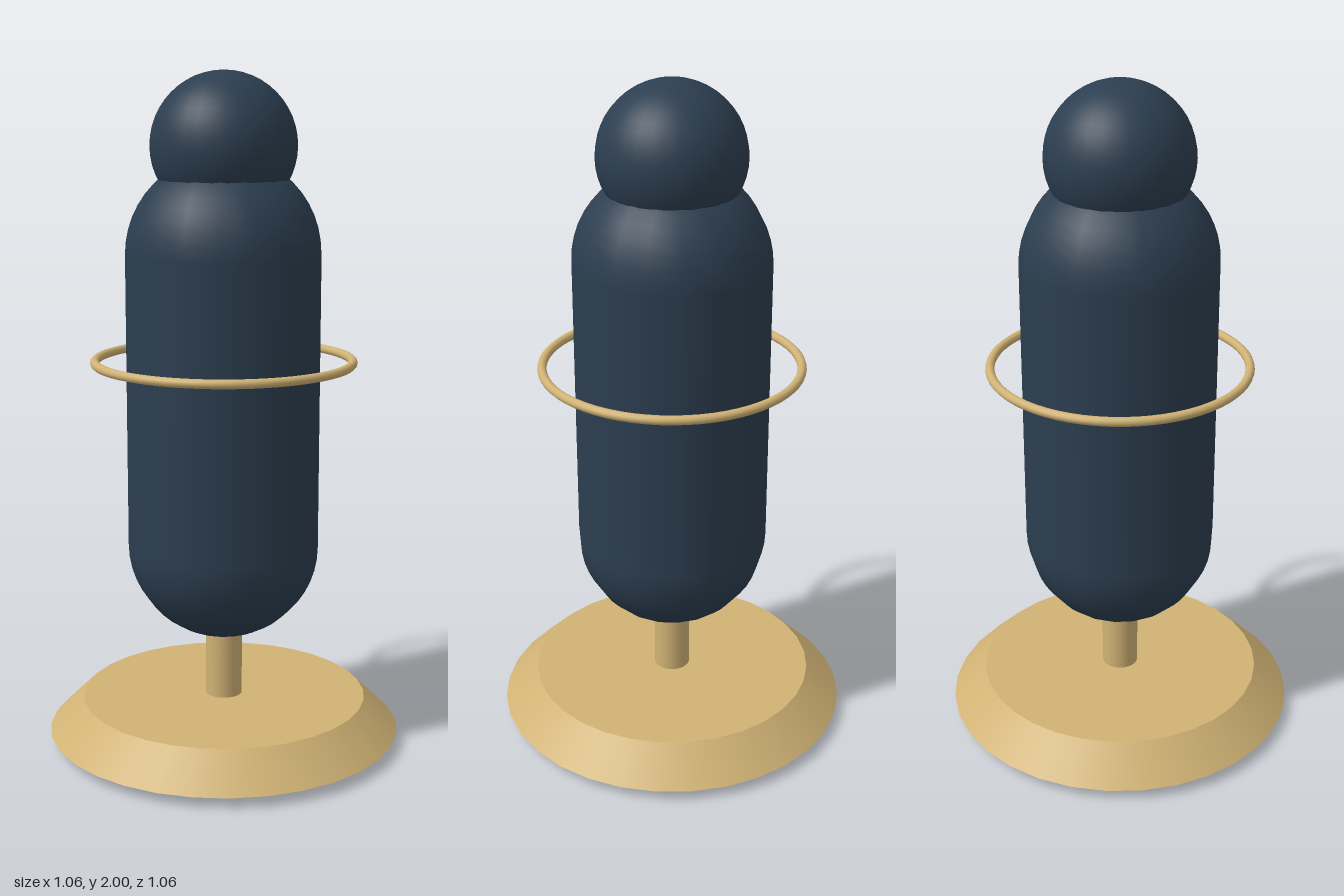
import * as THREE from 'three';

export function createModel() {
  const group = new THREE.Group();
  const navy = new THREE.MeshStandardMaterial({ color: 0x2c3e50 });
  navy.name = 'navy';
  const gold = new THREE.MeshStandardMaterial({ color: 0xd0b274 });
  gold.name = 'gold';

  const add = (name, geometry, material, y) => {
    const mesh = new THREE.Mesh(geometry, material);
    mesh.name = name;
    mesh.position.y = y;
    group.add(mesh);
    return mesh;
  };

  // Sloped stand, with the post passing through it to the ground
  add('base', new THREE.CylinderGeometry(0.43, 0.532, 0.1, 32), gold, 0.082);
  add('post', new THREE.CylinderGeometry(0.055, 0.055, 0.42, 24), gold, 0.21);

  // Rounded body and head
  const radius = 0.287;
  const bottom = 0.325;
  const top = 1.765;
  const straight = top - bottom - 2 * radius;
  add('body', new THREE.CapsuleGeometry(radius, straight, 12, 18), navy, (top + bottom) / 2);
  add('head', new THREE.SphereGeometry(0.213, 32, 24), navy, 1.787);

  // Thin ring floating around the body
  add('ring', new THREE.TorusGeometry(0.379, 0.0135, 12, 64), gold, 1.163).rotation.x = Math.PI / 2;

  return group;
}
